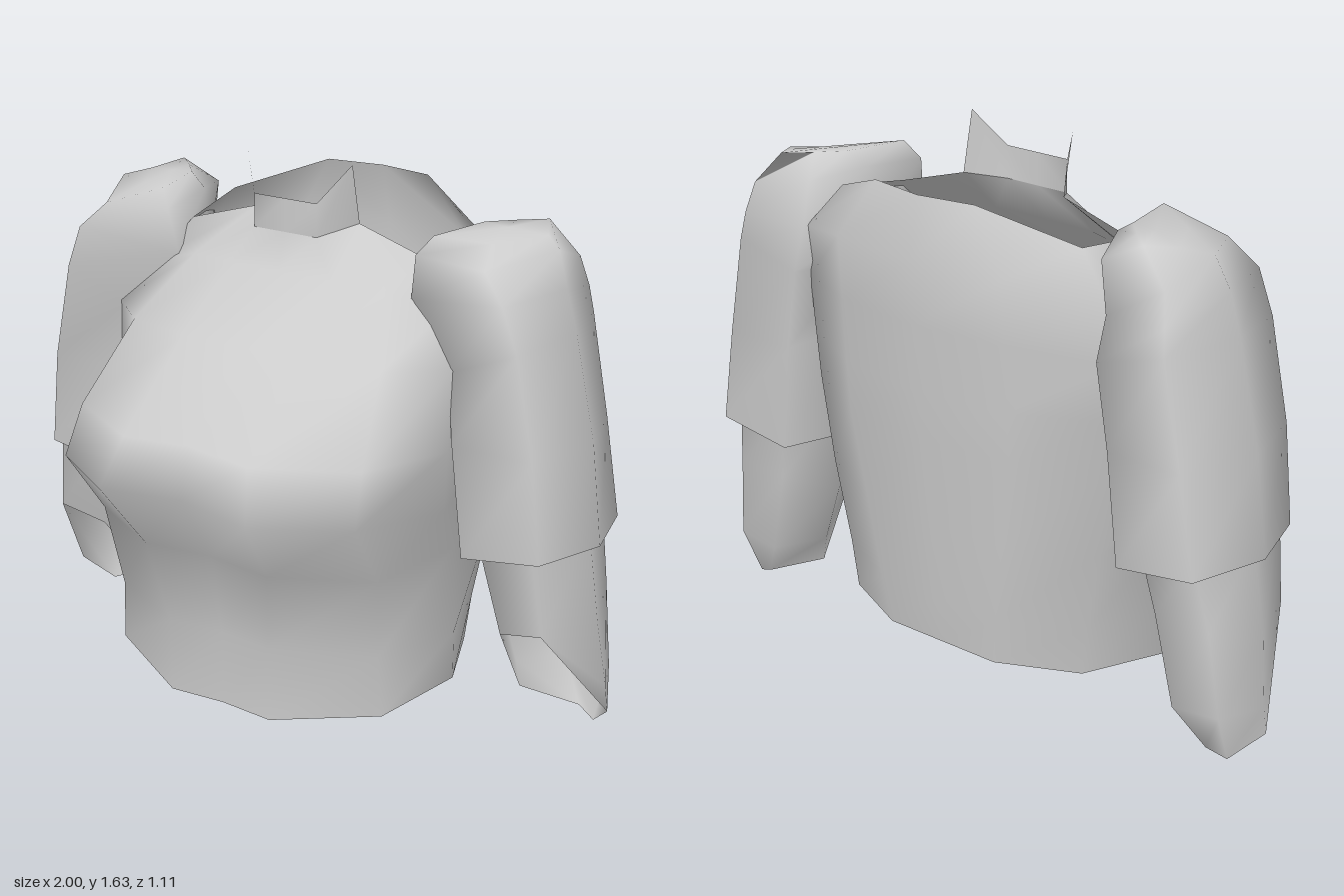
import * as THREE from 'three';
import { mergeGeometries, mergeVertices } from 'three/addons/utils/BufferGeometryUtils.js';

const grey = new THREE.MeshStandardMaterial({ color: 0xcccccc, side: THREE.DoubleSide });
grey.name = 'plate grey';

// Skin rows of points (listed bottom to top, each running left to right seen from outside).
function skin(rows, closed = false) {
  const n = rows[0].length, pos = rows.flat(2), idx = [];
  const cols = closed ? n : n - 1;
  for (let r = 0; r < rows.length - 1; r++) {
    for (let c = 0; c < cols; c++) {
      const a = r * n + c, b = r * n + (c + 1) % n;
      idx.push(a, b, b + n, a, b + n, a + n);
    }
  }
  const g = new THREE.BufferGeometry();
  g.setAttribute('position', new THREE.Float32BufferAttribute(pos, 3));
  g.setIndex(idx);
  return g;
}

// Weld shared corners and smooth them
function smooth(...parts) {
  const g = mergeVertices(mergeGeometries(parts), 1e-4);
  g.computeVertexNormals();
  return g;
}

const flip = ([x, y, z]) => [-x, y, z];
// Half row (centre to +x) completed by its mirror image; the back runs the other way
const frontRow = (half) => [...half.slice(1).reverse().map(flip), ...half];
const backRow = (half) => frontRow(half).reverse();
// Ring mirrored to the other side, order reversed to keep it facing out
const mirrorRing = (ring) => ring.map(flip).reverse();

// Side seam shared by breast and back, from the hem up to the shoulder
const seam = [
  [0.555, 0.12, -0.08], [0.555, 0.27, -0.08], [0.56, 0.55, -0.06], [0.59, 0.7, 0.05],
  [0.59, 0.88, 0.04], [0.595, 1.12, 0.03], [0.51, 1.25, -0.04], [0.42, 1.38, -0.11],
];
const withSeam = (rows) => rows.map((row, i) => [...row, seam[i]]);

const breast = withSeam([
  [[0, 0.04, 0.32], [0.18, 0.04, 0.335], [0.48, 0.08, 0.19]],
  [[0, 0.27, 0.32], [0.18, 0.27, 0.34], [0.47, 0.27, 0.2]],
  [[0, 0.53, 0.37], [0.22, 0.53, 0.4], [0.5, 0.53, 0.25]],
  [[0, 0.75, 0.51], [0.26, 0.74, 0.555], [0.52, 0.74, 0.4]],
  [[0, 0.9, 0.47], [0.22, 0.89, 0.49], [0.5, 0.89, 0.34]],
  [[0, 1.13, 0.22], [0.2, 1.13, 0.23], [0.44, 1.12, 0.16]],
  [[0, 1.31, 0.04], [0.18, 1.31, 0.03], [0.34, 1.3, -0.01]],
  [[0, 1.42, 0], [0.11, 1.42, 0], [0.185, 1.45, -0.11]],
]);

const back = withSeam([
  [[0, 0.12, -0.445], [0.2, 0.12, -0.445], [0.44, 0.12, -0.335]],
  [[0, 0.27, -0.465], [0.22, 0.27, -0.46], [0.46, 0.27, -0.34]],
  [[0, 0.53, -0.49], [0.26, 0.53, -0.475], [0.51, 0.53, -0.35]],
  [[0, 0.8, -0.52], [0.3, 0.8, -0.49], [0.55, 0.8, -0.355]],
  [[0, 0.95, -0.53], [0.3, 0.95, -0.5], [0.56, 0.95, -0.36]],
  [[0, 1.15, -0.545], [0.3, 1.15, -0.51], [0.565, 1.12, -0.37]],
  [[0, 1.34, -0.555], [0.3, 1.34, -0.52], [0.56, 1.28, -0.38]],
  [[0, 1.52, -0.515], [0.18, 1.52, -0.485], [0.44, 1.42, -0.35]],
]);

const collar = [
  [[0, 1.42, 0], [0.11, 1.42, 0], [0.185, 1.45, -0.11]],
  [[0, 1.52, 0], [0.11, 1.52, 0], [0.185, 1.63, -0.07]],
];

// Six-sided rings: front inner, front outer, outer, back outer, back inner, inner
const sleeve = [
  [[0.64, 0.565, 0.035], [0.89, 0.6, 0.03], [0.96, 0.6, -0.2], [0.89, 0.6, -0.44], [0.635, 0.565, -0.44], [0.565, 0.56, -0.2]],
  [[0.6, 0.9, 0.035], [0.86, 0.9, 0.035], [0.925, 0.9, -0.2], [0.84, 0.9, -0.44], [0.6, 0.9, -0.44], [0.57, 0.9, -0.2]],
  [[0.58, 1.11, 0.03], [0.8, 1.2, 0.035], [0.855, 1.22, -0.2], [0.78, 1.21, -0.44], [0.56, 1.15, -0.44], [0.54, 1.12, -0.2]],
  [[0.415, 1.28, -0.03], [0.75, 1.33, 0.035], [0.82, 1.34, -0.2], [0.77, 1.29, -0.425], [0.56, 1.27, -0.4], [0.43, 1.28, -0.2]],
  [[0.44, 1.42, -0.01], [0.67, 1.41, 0], [0.78, 1.44, -0.22], [0.75, 1.38, -0.4], [0.535, 1.42, -0.39], [0.46, 1.44, -0.22]],
  [[0.48, 1.475, -0.04], [0.62, 1.455, -0.12], [0.71, 1.46, -0.28], [0.66, 1.48, -0.375], [0.59, 1.48, -0.31], [0.525, 1.48, -0.24]],
  Array(6).fill([0.6, 1.475, -0.24]),
];

// Forearm with a slanted open cuff, cut high at the front
const cuffFront = [[0.74, 0.33, -0.03], [0.89, 0.37, 0]];
const forearm = [
  [...cuffFront, [1, 0.08, -0.22], [0.92, 0, -0.29], [0.86, 0.025, -0.31], [0.705, 0.08, -0.22]],
  [...cuffFront, [0.99, 0.16, -0.22], [0.93, 0.16, -0.355], [0.78, 0.15, -0.365], [0.69, 0.16, -0.22]],
  [...cuffFront, [0.965, 0.36, -0.2], [0.9, 0.42, -0.37], [0.72, 0.42, -0.37], [0.645, 0.34, -0.2]],
  [[0.68, 0.64, 0.02], [0.86, 0.64, 0.02], [0.925, 0.64, -0.2], [0.86, 0.64, -0.4], [0.68, 0.64, -0.4], [0.62, 0.64, -0.2]],
];

export function createModel() {
  const model = new THREE.Group();
  model.name = 'torsoArmour';
  const add = (name, geometry) => {
    const mesh = new THREE.Mesh(geometry, grey);
    mesh.name = name;
    model.add(mesh);
  };

  add('cuirass', smooth(skin(breast.map(frontRow)), skin(back.map(backRow))));
  add('collar', smooth(skin(collar.map(frontRow))));

  for (const [side, place] of [['left', (r) => r], ['right', mirrorRing]]) {
    add(side + 'UpperSleeve', smooth(skin(sleeve.map(place), true)));
    add(side + 'Forearm', smooth(skin(forearm.map(place), true)));
  }
  return model;
}
